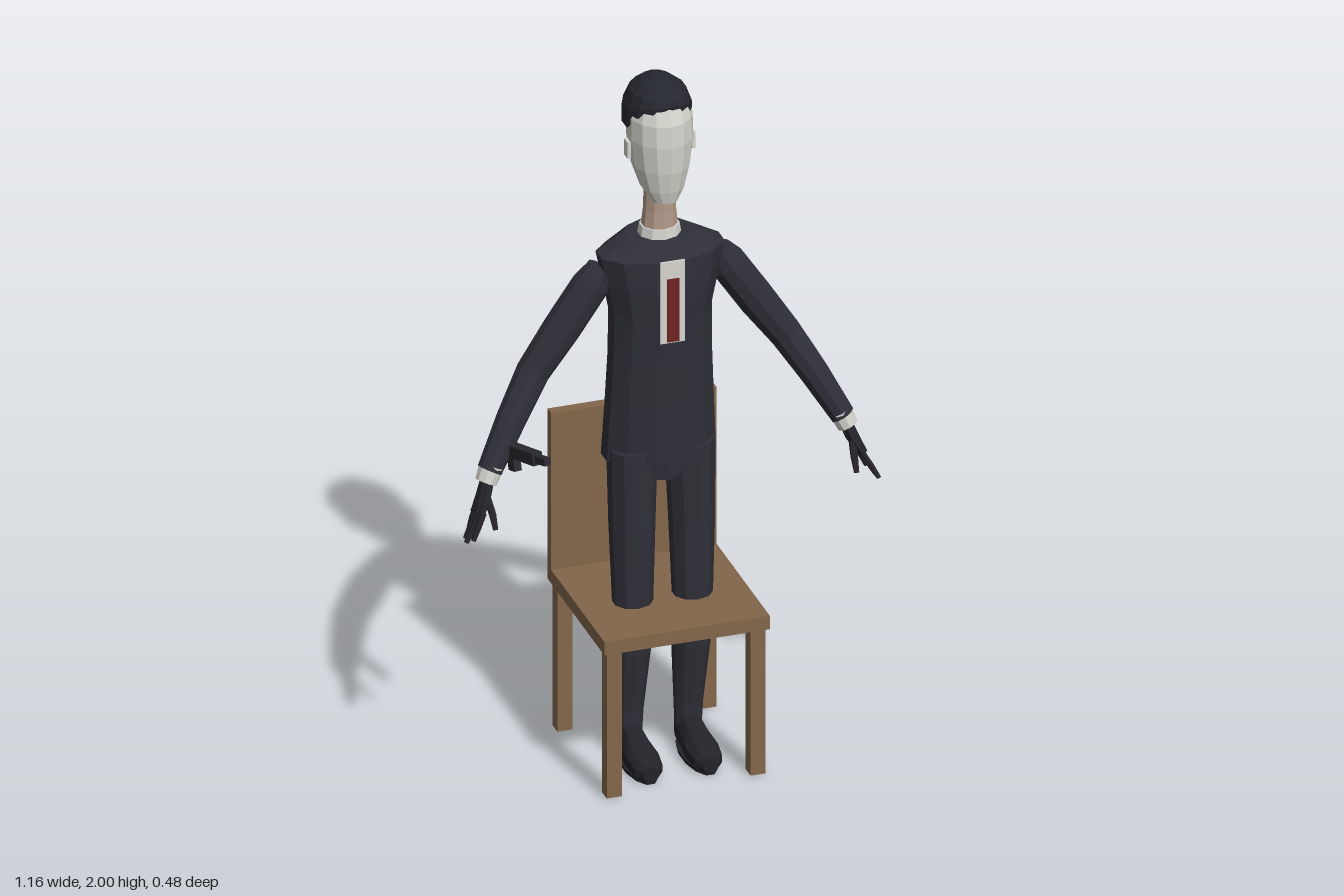
import * as THREE from 'three';

const mat = (name, color) => {
  const m = new THREE.MeshStandardMaterial({ color });
  m.name = name;
  return m;
};
const V = (x, y, z) => new THREE.Vector3(x, y, z);
const UP = V(0, 1, 0), FRONT = V(0, 0, 1);

// Faceted skin over elliptical sections [x, y, z, ru, rv]; rings follow the path unless axis is fixed
function loft(sections, sides, { ref = FRONT, axis = null, move = null } = {}) {
  const pts = sections.map(s => V(s[0], s[1], s[2]));
  const rings = sections.map((s, i) => {
    const t = axis ? axis.clone() : pts[Math.min(i + 1, pts.length - 1)].clone().sub(pts[Math.max(i - 1, 0)]).normalize();
    const u = t.clone().cross(ref).normalize(), v = u.clone().cross(t);
    return Array.from({ length: sides }, (_, j) => {
      const a = ((j + 0.5) / sides) * Math.PI * 2;
      const p = pts[i].clone().addScaledVector(u, Math.cos(a) * s[3]).addScaledVector(v, Math.sin(a) * s[4]);
      if (move) move(p, i, j);
      return p;
    });
  });
  const mid = r => r.reduce((a, p) => a.add(p), V(0, 0, 0)).divideScalar(sides);
  const first = rings[0], last = rings[rings.length - 1], c0 = mid(first), c1 = mid(last), out = [];
  for (let j = 0; j < sides; j++) {
    const k = (j + 1) % sides;
    for (let i = 0; i + 1 < rings.length; i++) {
      const a = rings[i][j], b = rings[i][k], c = rings[i + 1][j], d = rings[i + 1][k];
      out.push(a, c, b, b, c, d);
    }
    out.push(c0, first[j], first[k], c1, last[k], last[j]);
  }
  const g = new THREE.BufferGeometry().setFromPoints(out);
  g.computeVertexNormals();
  return g;
}

export function createModel() {
  const suit = mat('suit cloth', 0x2f2f38), black = mat('black leather', 0x232329), hairMat = mat('hair', 0x25272e);
  const pale = mat('pale face', 0xd3d3cb), skin = mat('neck skin', 0xb59a8b), white = mat('white shirt', 0xd6d4ce);
  const red = mat('red tie', 0x6e2424), wood = mat('wood', 0x83664b), metal = mat('gun metal', 0x2a2a30);
  const model = new THREE.Group();
  model.name = 'suitedFigureWithChair';
  const group = (name, parent = model) => {
    const g = new THREE.Group();
    g.name = name;
    parent.add(g);
    return g;
  };
  const add = (parent, name, geo, m) => {
    const mesh = new THREE.Mesh(geo, m);
    mesh.name = name;
    parent.add(mesh);
    return mesh;
  };
  // Box given by its minimum and maximum corners
  const box = (parent, name, m, x0, x1, y0, y1, z0, z1) =>
    add(parent, name, new THREE.BoxGeometry(x1 - x0, y1 - y0, z1 - z0), m)
      .position.set((x0 + x1) / 2, (y0 + y1) / 2, (z0 + z1) / 2);

  // Chair
  const chair = group('chair');
  box(chair, 'seat', wood, -0.23, 0.23, 0.435, 0.475, -0.24, 0.222);
  box(chair, 'backrest', wood, -0.23, 0.23, 0.475, 0.94, -0.24, -0.21);
  for (const s of [-1, 1]) for (const z of [-0.205, 0.195])
    box(chair, 'chairLeg', wood, s * 0.2 - 0.021, s * 0.2 + 0.021, 0.005, 0.435, z - 0.02, z + 0.02);

  // Jacket and hips
  const body = group('body');
  add(body, 'jacket', loft([
    [0, 0.895, -0.012, 0.157, 0.095], [0, 1.05, -0.005, 0.149, 0.092], [0, 1.2, 0, 0.142, 0.093],
    [0, 1.33, 0.002, 0.14, 0.1], [0, 1.42, 0.004, 0.158, 0.103], [0, 1.505, 0.002, 0.177, 0.1],
    [0, 1.545, -0.008, 0.095, 0.08],
  ], 12, { axis: UP }), suit);
  add(body, 'hips', loft([
    [0, 0.845, -0.012, 0.075, 0.09], [0, 0.9, -0.012, 0.12, 0.092], [0, 0.96, -0.01, 0.13, 0.085],
  ], 10, { axis: UP }), suit);
  box(body, 'shirtFront', white, -0.035, 0.033, 1.27, 1.51, 0.103, 0.11);
  box(body, 'tie', red, -0.018, 0.016, 1.275, 1.46, 0.109, 0.115);

  // Head, hair, ears, neck and collar
  const head = group('head');
  add(head, 'collar', loft([[0, 1.535, -0.005, 0.06, 0.055], [0, 1.572, -0.004, 0.054, 0.05]], 10, { axis: UP }), white);
  add(head, 'neck', loft([
    [0, 1.55, -0.004, 0.051, 0.046], [0, 1.62, -0.002, 0.044, 0.041], [0, 1.7, 0, 0.042, 0.041],
  ], 10, { axis: UP }), skin);
  add(head, 'face', loft([
    [0, 1.663, 0.042, 0.035, 0.032], [0, 1.7, 0.022, 0.06, 0.062], [0, 1.76, 0.006, 0.078, 0.088],
    [0, 1.84, 0, 0.088, 0.098], [0, 1.9, -0.003, 0.087, 0.096], [0, 1.95, -0.005, 0.072, 0.078],
    [0, 1.98, -0.005, 0.04, 0.045],
  ], 14, { axis: UP }), pale);
  // The lower rings rise into a ragged fringe at the front
  add(head, 'hair', loft([
    [0, 1.868, -0.025, 0.093, 0.102], [0, 1.92, -0.024, 0.092, 0.102], [0, 1.965, -0.018, 0.075, 0.088],
    [0, 1.99, -0.018, 0.045, 0.055], [0, 2, -0.018, 0.015, 0.02],
  ], 14, {
    axis: UP,
    move: (p, i, j) => {
      if (i === 0 && p.z > 0) p.y += p.z * 0.85 + (j % 2) * 0.012;
      if (i === 1 && p.z > 0) p.y += p.z * 0.4;
    },
  }), hairMat);
  for (const s of [-1, 1]) box(head, 'ear', pale, s * 0.09 - 0.005, s * 0.09 + 0.005, 1.785, 1.832, -0.014, 0.014);

  for (const s of [-1, 1]) {
    const side = s > 0 ? 'left' : 'right';
    const limb = (parent, name, m, pts, sides, opt) =>
      add(parent, name, loft(pts.map(([x, ...r]) => [s * x, ...r]), sides, opt), m);

    // Sleeve, cuff and gloved hand
    const arm = group(side + 'Arm');
    limb(arm, 'sleeve', suit, [
      [0.165, 1.465, -0.003, 0.035, 0.04], [0.19, 1.42, -0.004, 0.052, 0.047], [0.27, 1.3, -0.008, 0.052, 0.048],
      [0.35, 1.185, -0.008, 0.046, 0.046], [0.42, 1.07, 0.02, 0.041, 0.041], [0.49, 0.945, 0.05, 0.034, 0.035],
    ], 10);
    limb(arm, 'cuff', white, [[0.483, 0.957, 0.047, 0.033, 0.036], [0.503, 0.915, 0.056, 0.029, 0.032]], 10);
    limb(arm, 'palm', black, [
      [0.497, 0.925, 0.054, 0.018, 0.022], [0.512, 0.885, 0.066, 0.018, 0.032], [0.535, 0.842, 0.084, 0.013, 0.036],
    ], 8);
    for (const [z0, x, y, z] of [[0.058, 0.552, 0.79, 0.062], [0.075, 0.57, 0.772, 0.084], [0.091, 0.574, 0.77, 0.105], [0.107, 0.563, 0.785, 0.13]])
      limb(arm, 'finger', black, [[0.527, 0.852, z0, 0.009, 0.01], [(0.531 + x) / 2, (0.845 + y) / 2, (z0 + z) / 2, 0.009, 0.01], [x, y, z, 0.006, 0.007]], 6);
    limb(arm, 'thumb', black, [[0.508, 0.885, 0.078, 0.01, 0.011], [0.503, 0.845, 0.112, 0.01, 0.01], [0.502, 0.81, 0.134, 0.007, 0.007]], 6);

    // Trouser leg and shoe
    const leg = group(side + 'Leg');
    limb(leg, 'trouser', suit, [
      [0.083, 0.075, -0.012, 0.037, 0.032], [0.083, 0.14, -0.01, 0.04, 0.034], [0.083, 0.32, 0.01, 0.052, 0.05],
      [0.083, 0.48, 0.022, 0.055, 0.052], [0.083, 0.7, 0.016, 0.062, 0.062], [0.08, 0.93, 0.008, 0.068, 0.07],
    ], 10, { axis: UP });
    const flatten = p => { p.y = Math.max(p.y, 0.012); };
    limb(leg, 'shoe', black, [
      [0.083, 0.032, 0.176, 0.022, 0.024], [0.083, 0.034, 0.15, 0.041, 0.035], [0.083, 0.038, 0.1, 0.047, 0.045],
      [0.083, 0.045, 0.04, 0.04, 0.058], [0.083, 0.05, -0.02, 0.036, 0.064], [0.083, 0.045, -0.055, 0.026, 0.054],
    ], 10, { ref: UP, axis: V(0, 0, -1), move: flatten });
    limb(leg, 'sole', black, [
      [0.083, 0.002, 0.06, 0.043, 0.115], [0.083, 0.014, 0.06, 0.045, 0.117],
    ], 12, { axis: UP });
  }

  // Pistol held out from the right forearm
  const gun = group('pistol');
  box(gun, 'slide', metal, -0.015, 0.015, -0.017, 0.017, -0.03, 0.125);
  box(gun, 'barrel', metal, -0.01, 0.01, -0.009, 0.011, 0.12, 0.178);
  box(gun, 'grip', metal, -0.011, 0.011, -0.055, -0.01, -0.025, 0.008);
  gun.position.set(-0.427, 1.0, 0.066);
  gun.rotation.set(-0.24, 0.2, 0, 'YXZ');
  return model;
}
